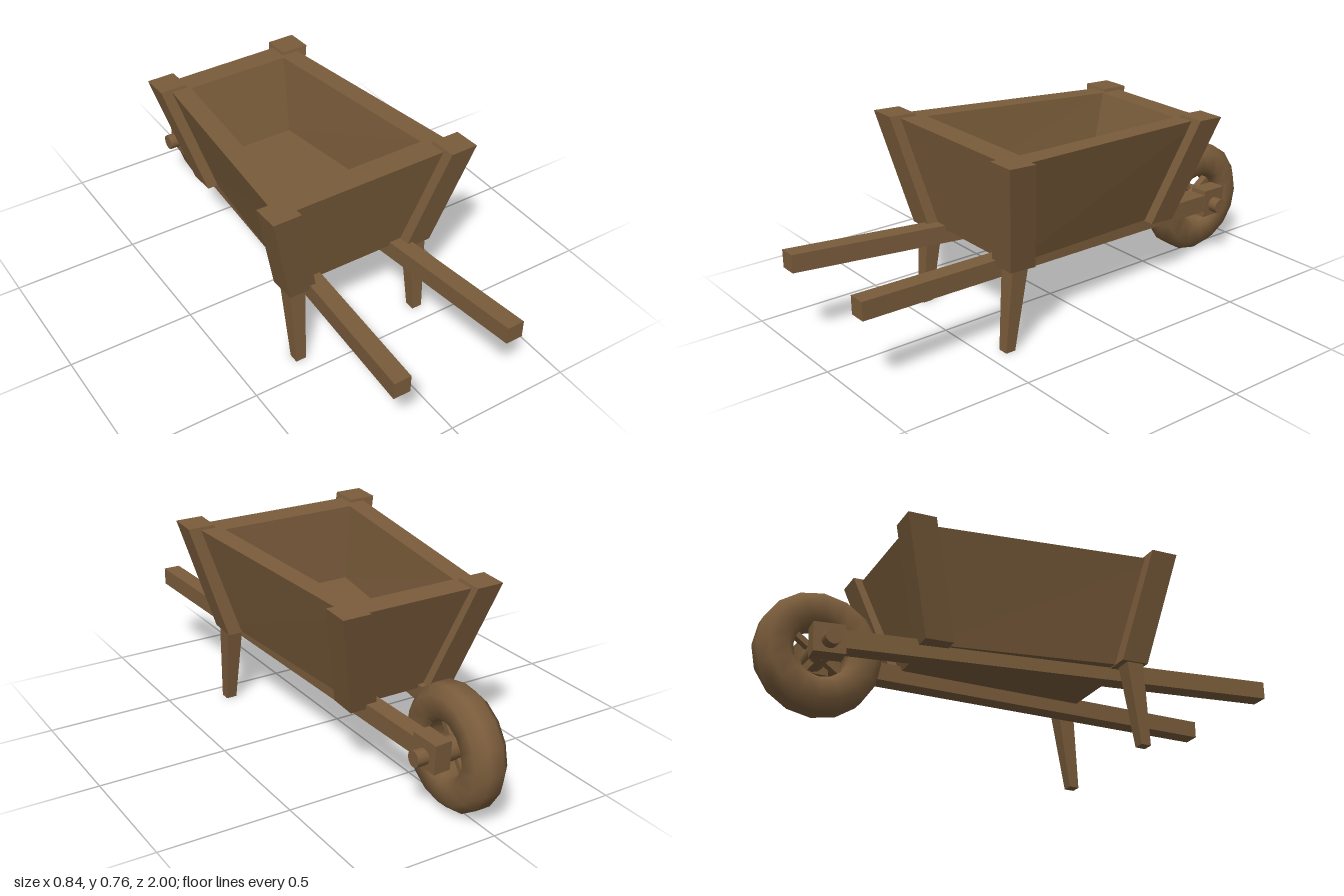
import * as THREE from 'three';
import { toCreasedNormals } from 'three/addons/utils/BufferGeometryUtils.js';

const TILT = 0.053; // the tray and handles rise gently toward the grips

// Four corners, front edge then back edge: centre x, half width and z of each
function ring(y, [xf, wf, zf], [xb, wb, zb], tilt = TILT) {
  return [[xf + wf, zf], [xb + wb, zb], [xb - wb, zb], [xf - wf, zf]]
    .map(([x, z]) => [x, y + tilt * z, z]);
}

// Joins four-cornered rings in order and caps the first and last
function loft(rings) {
  const pos = [];
  const quad = (a, b, c, d) => pos.push(...a, ...b, ...c, ...a, ...c, ...d);
  const first = rings[0], last = rings[rings.length - 1];
  quad(first[0], first[3], first[2], first[1]);
  for (let i = 0; i < rings.length - 1; i++) {
    const lo = rings[i], hi = rings[i + 1];
    for (let k = 0; k < 4; k++) {
      const n = (k + 1) % 4;
      quad(lo[k], lo[n], hi[n], hi[k]);
    }
  }
  quad(...last);
  const g = new THREE.BufferGeometry();
  g.setAttribute('position', new THREE.Float32BufferAttribute(pos, 3));
  g.computeVertexNormals();
  return g;
}

export function createModel() {
  const model = new THREE.Group();
  model.name = 'wheelbarrow';
  const wood = new THREE.MeshStandardMaterial({ color: 0x7a5c3b });
  wood.name = 'brown wood';
  const add = (name, geometry, parent = model) => {
    const m = new THREE.Mesh(geometry, wood);
    m.name = name;
    parent.add(m);
    return m;
  };

  // Hollow tray: outside up, over the rim, down to the floor
  add('tray', loft([
    ring(0.303, [0, 0.258, 0.38], [0, 0.168, -0.41]),
    ring(0.719, [0, 0.377, 0.463], [0, 0.277, -0.542]),
    ring(0.719, [0, 0.285, 0.362], [0, 0.21, -0.447]),
    ring(0.424, [0, 0.25, 0.34], [0, 0.18, -0.36]),
  ]));

  for (const s of [1, -1]) {
    const side = s > 0 ? 'left' : 'right';

    // Leaning corner posts: x and z centres at bottom and top
    for (const [end, xb, zb, xt, zt] of [
      ['Front', 0.253, 0.37, 0.367, 0.453],
      ['Back', 0.163, -0.391, 0.276, -0.521],
    ]) {
      const h = 0.055;
      add(side + end + 'Post', loft([
        ring(0.299, [s * xb, h, zb + h], [s * xb, h, zb - h]),
        ring(0.730, [s * xt, h, zt + h], [s * xt, h, zt - h]),
      ]));
    }

    // Handle beam converging on the wheel
    const beam = (y) => ring(y, [s * 0.238, 0.034, 1], [s * 0.098, 0.034, -0.76]);
    add(side + 'Handle', loft([beam(0.2515), beam(0.3215)]));

    // Tapered leg
    add(side + 'Leg', loft([
      ring(0, [s * 0.267, 0.021, 0.434], [s * 0.267, 0.021, 0.394], 0),
      ring(0.325, [s * 0.267, 0.032, 0.41], [s * 0.267, 0.032, 0.34], 0),
    ]));

    // Axle block at the end of the handle
    const block = add(side + 'AxleBlock', new THREE.BoxGeometry(0.07, 0.112, 0.118));
    block.position.set(s * 0.098, 0.243, -0.767);
    block.rotation.set(-TILT, s * 0.08, 0);
  }

  // Wheel, turned around the x axis
  const wheel = new THREE.Group();
  wheel.name = 'wheel';
  wheel.position.set(0, 0.233, -0.769);
  wheel.rotation.z = Math.PI / 2;
  model.add(wheel);

  const profile = [
    [0.103, -0.045], [0.125, -0.067], [0.197, -0.067], [0.231, -0.03],
    [0.231, 0.03], [0.197, 0.067], [0.125, 0.067], [0.103, 0.045], [0.103, -0.045],
  ].map(([r, h]) => new THREE.Vector2(r, h));
  add('tyre', toCreasedNormals(new THREE.LatheGeometry(profile, 16), 0.85), wheel);
  add('hub', new THREE.CylinderGeometry(0.045, 0.045, 0.11, 12), wheel);
  add('axle', new THREE.CylinderGeometry(0.031, 0.031, 0.35, 12), wheel);

  // Four spokes from hub to rim
  for (let i = 0; i < 4; i++) {
    const a = THREE.MathUtils.degToRad(35 + 90 * i);
    const spoke = add('spoke', new THREE.BoxGeometry(0.09, 0.03, 0.022), wheel);
    spoke.position.set(Math.cos(a) * 0.075, 0, Math.sin(a) * 0.075);
    spoke.rotation.y = -a;
  }

  return model;
}
